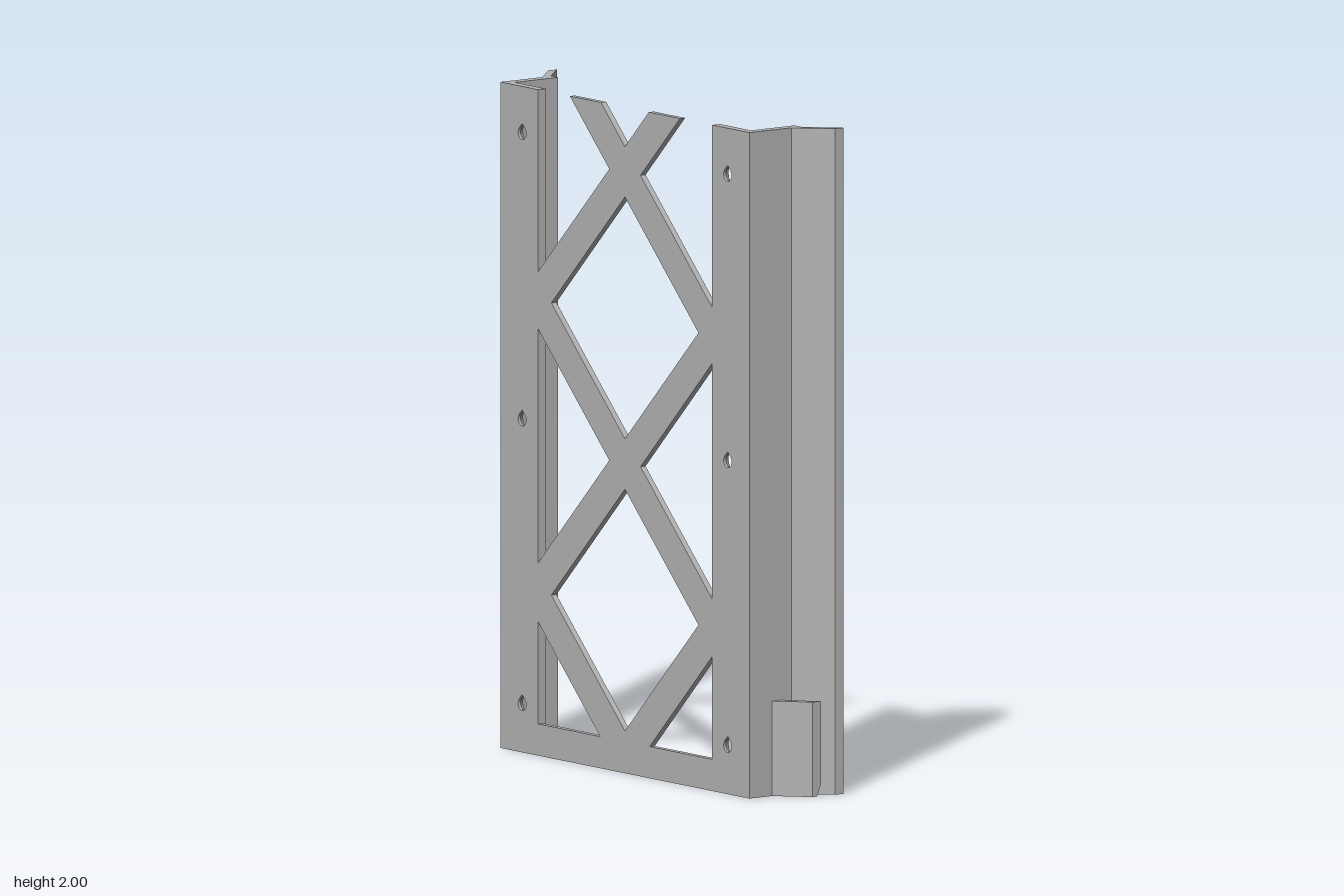
import * as THREE from 'three';

const H = 2, FRONT = 0.137, BACK = 0.107, STEP = 0.128;
const HOLES = [0.145, 1.0, 1.86], HOLE_X = 0.507;

const grey = new THREE.MeshStandardMaterial({ color: 0xb2b2b2, side: THREE.DoubleSide });
grey.name = 'grey plastic';

const shapeOf = (pts) => new THREE.Shape(pts.map(([x, y]) => new THREE.Vector2(x, y)));

function add(group, name, geometry) {
  const mesh = new THREE.Mesh(geometry, grey);
  mesh.name = name;
  group.add(mesh);
  return mesh;
}

// Extrude an x/y outline between two depths
function slab(shape, z0, z1) {
  return new THREE.ExtrudeGeometry(shape, { depth: z1 - z0, bevelEnabled: false }).translate(0, 0, z0);
}

// Extrude an x/z section upwards from the ground
function column(section, side, height, steps = 1) {
  const shape = shapeOf(section.map(([x, z]) => [x * side, -z]));
  return new THREE.ExtrudeGeometry(shape, { depth: height, steps, bevelEnabled: false }).rotateX(-Math.PI / 2);
}

// Teardrop outline: round with a 45 degree peak on top
function teardrop(cx, cy, r, n = 16) {
  return Array.from({ length: n }, (_, i) => {
    const a = (i / n) * Math.PI * 2, c = Math.cos(a), s = Math.sin(a);
    const k = s > 0.7 ? (r * Math.SQRT2) / (Math.abs(c) + s) : r;
    return new THREE.Vector2(cx + c * k, cy + s * k);
  });
}

// Sloping wall of a countersunk hole
function countersink(cx, cy) {
  const small = teardrop(cx, cy, 0.02), large = teardrop(cx, cy, 0.036);
  const pos = [];
  small.forEach((a, i) => {
    const j = (i + 1) % small.length, b = small[j], c = large[i], d = large[j];
    pos.push(a.x, a.y, STEP, b.x, b.y, STEP, c.x, c.y, BACK);
    pos.push(b.x, b.y, STEP, d.x, d.y, BACK, c.x, c.y, BACK);
  });
  const g = new THREE.BufferGeometry();
  g.setAttribute('position', new THREE.Float32BufferAttribute(pos, 3));
  g.computeVertexNormals();
  return g;
}

function plateShape(side, radius) {
  const shape = shapeOf([[0.43, 0], [0.583, 0], [0.583, H], [0.43, H]].map(([x, y]) => [x * side, y]));
  for (const y of HOLES) shape.holes.push(new THREE.Path(teardrop(side * HOLE_X, y, radius)));
  return shape;
}

function createRail(side) {
  const rail = new THREE.Group();
  rail.name = side > 0 ? 'leftRail' : 'rightRail';

  // Screw plate in two layers, with countersinks at the back
  add(rail, 'screwPlateFront', slab(plateShape(side, 0.02), STEP, FRONT));
  add(rail, 'screwPlateBack', slab(plateShape(side, 0.036), BACK, STEP));
  for (const y of HOLES) add(rail, 'countersink', countersink(side * HOLE_X, y));

  // Side wall with its slanted flange
  add(rail, 'wallAndFlange', column([
    [0.583, FRONT], [0.615, FRONT], [0.615, -0.019], [0.708, -0.111],
    [0.708, -0.143], [0.617, -0.053], [0.583, -0.053],
  ], side, H));

  // Short clip parallel to the flange, thinned at its lower inner edge
  const clip = column([[0.614, 0.055], [0.703, -0.03], [0.703, -0.062], [0.614, 0.024]], side, 0.285, 8);
  const p = clip.attributes.position;
  for (let i = 0; i < p.count; i++) {
    const z = p.getZ(i);
    const inner = Math.abs(z + 0.062) < 1e-3 || Math.abs(z - 0.024) < 1e-3;
    if (p.getY(i) < 1e-3 && inner) p.setZ(i, z + 0.014);
  }
  clip.computeVertexNormals();
  add(rail, 'clip', clip);
  return rail;
}

function createLattice() {
  // Half outline, mirrored about the centre line
  const half = [
    [0.43, 0], [0.43, 0.095], [0.122, 0.095], [0.43, 0.403], [0.43, 0.577], [0.077, 0.93],
    [0.43, 1.283], [0.43, 1.452], [0.077, 1.805], [0.272, H], [0.118, H],
  ];
  const mirrored = half.map(([x, y]) => [-x, y]).reverse();
  const shape = shapeOf([...half, [0, 1.882], ...mirrored]);
  const r = 0.363;
  for (const y of [0.49, 1.3675]) {
    shape.holes.push(new THREE.Path([[r, 0], [0, r], [-r, 0], [0, -r]]
      .map(([dx, dy]) => new THREE.Vector2(dx, y + dy))));
  }
  return slab(shape, 0.118, FRONT);
}

export function createModel() {
  const model = new THREE.Group();
  model.name = 'latticeBracket';
  add(model, 'lattice', createLattice());
  for (const side of [1, -1]) model.add(createRail(side));
  return model;
}
